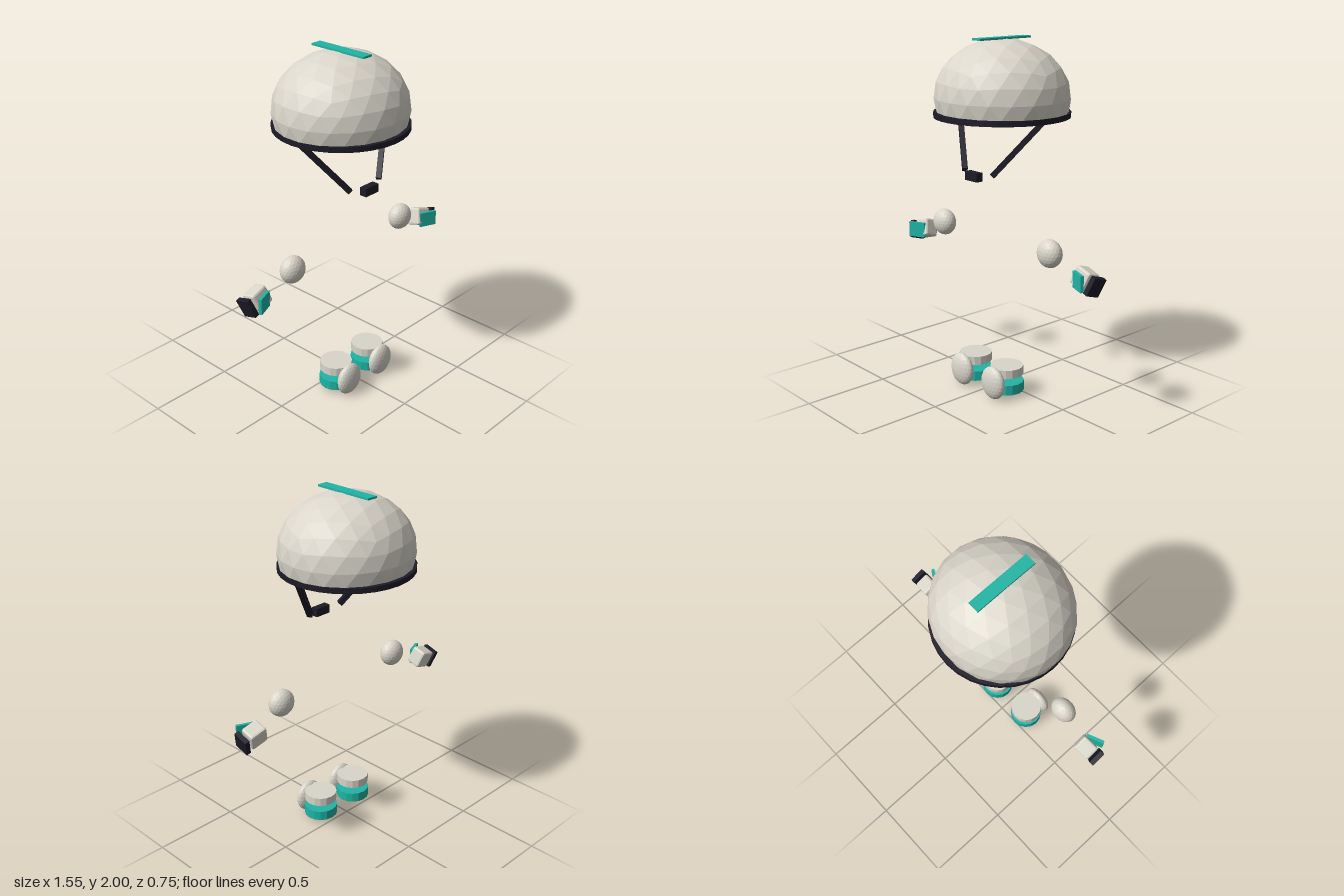
import * as THREE from 'three';
import { RoundedBoxGeometry } from 'three/addons/geometries/RoundedBoxGeometry.js';

const mat = (name, color) => {
  const m = new THREE.MeshStandardMaterial({ color, flatShading: true });
  m.name = name;
  return m;
};

export function createModel() {
  const shell = mat('shell grey', 0xd9d5ca);
  const teal = mat('teal', 0x20b5a6);
  const dark = mat('dark strap', 0x1d1b27);

  const root = new THREE.Group();
  root.name = 'protectiveGear';

  const add = (parent, name, geometry, material, x, y, z) => {
    const mesh = new THREE.Mesh(geometry, material);
    mesh.name = name;
    mesh.position.set(x, y, z);
    parent.add(mesh);
    return mesh;
  };

  // Faceted ball with a vertex at the top, flattened below floor (unit radius)
  const ball = (rx, ry, rz, floor = -1) => {
    const g = new THREE.IcosahedronGeometry(1, 3);
    g.rotateX(-Math.atan((1 + Math.sqrt(5)) / 2)).rotateY(Math.PI / 2);
    const p = g.attributes.position;
    for (let i = 0; i < p.count; i++) p.setY(i, Math.max(p.getY(i), floor));
    g.scale(rx, ry, rz);
    g.computeVertexNormals();
    return g;
  };

  // Square bar between two points
  const bar = (parent, name, a, b, width, material) => {
    const mid = a.clone().add(b).multiplyScalar(0.5);
    const m = add(parent, name, new THREE.BoxGeometry(width, width, a.distanceTo(b)), material, mid.x, mid.y, mid.z);
    m.lookAt(b);
    return m;
  };

  // Helmet
  const helmet = new THREE.Group();
  helmet.name = 'helmet';
  root.add(helmet);
  add(helmet, 'dome', ball(0.386, 0.32, 0.366, -0.28), shell, 0, 1.675, 0);
  add(helmet, 'brim', new THREE.CylinderGeometry(0.377, 0.377, 0.03, 32), dark, 0, 1.587, 0);
  add(helmet, 'topStripe', new THREE.BoxGeometry(0.064, 0.011, 0.366), teal, 0, 1.9945, 0);
  add(helmet, 'chinCup', new THREE.BoxGeometry(0.1, 0.048, 0.042), dark, 0, 1.265, 0.207);

  for (const s of [1, -1]) {
    const side = s > 0 ? 'left' : 'right';
    bar(helmet, side + 'Strap', new THREE.Vector3(s * 0.345, 1.585, 0.017),
      new THREE.Vector3(s * 0.115, 1.28, 0.172), 0.03, dark);

    // Elbow pad
    add(root, side + 'ElbowPad', ball(0.078, 0.078, 0.06), shell, s * 0.443, 0.898, 0.06);

    // Glove: fist block with an outer cuff, tilted down and outwards
    const glove = new THREE.Group();
    glove.name = side + 'Glove';
    glove.position.set(s * 0.668, 0.806, 0.025);
    glove.rotation.set(-0.3, 0, -s * 0.3);
    root.add(glove);
    add(glove, 'palm', new RoundedBoxGeometry(0.105, 0.105, 0.09, 1, 0.012), shell, 0, 0, 0);
    add(glove, 'cuff', new THREE.BoxGeometry(0.028, 0.105, 0.09), dark, s * 0.082, 0, 0);
    const plate = add(root, side + 'GlovePlate', new THREE.BoxGeometry(0.105, 0.09, 0.018),
      teal, s * 0.678, 0.806, 0.086);
    plate.rotation.y = -s * 0.4;

    // Shoe: sole disc, ankle disc and rounded toe cap
    const shoe = new THREE.Group();
    shoe.name = side + 'Shoe';
    shoe.position.x = s * 0.135;
    root.add(shoe);
    add(shoe, 'sole', new THREE.CylinderGeometry(0.097, 0.097, 0.057, 16), teal, 0, 0.058, 0.085);
    add(shoe, 'ankleRing', new THREE.CylinderGeometry(0.094, 0.094, 0.05, 16), shell, 0, 0.152, 0.085);
    add(shoe, 'toeCap', ball(0.088, 0.096, 0.042), shell, 0, 0.096, 0.19);
  }
  return root;
}
